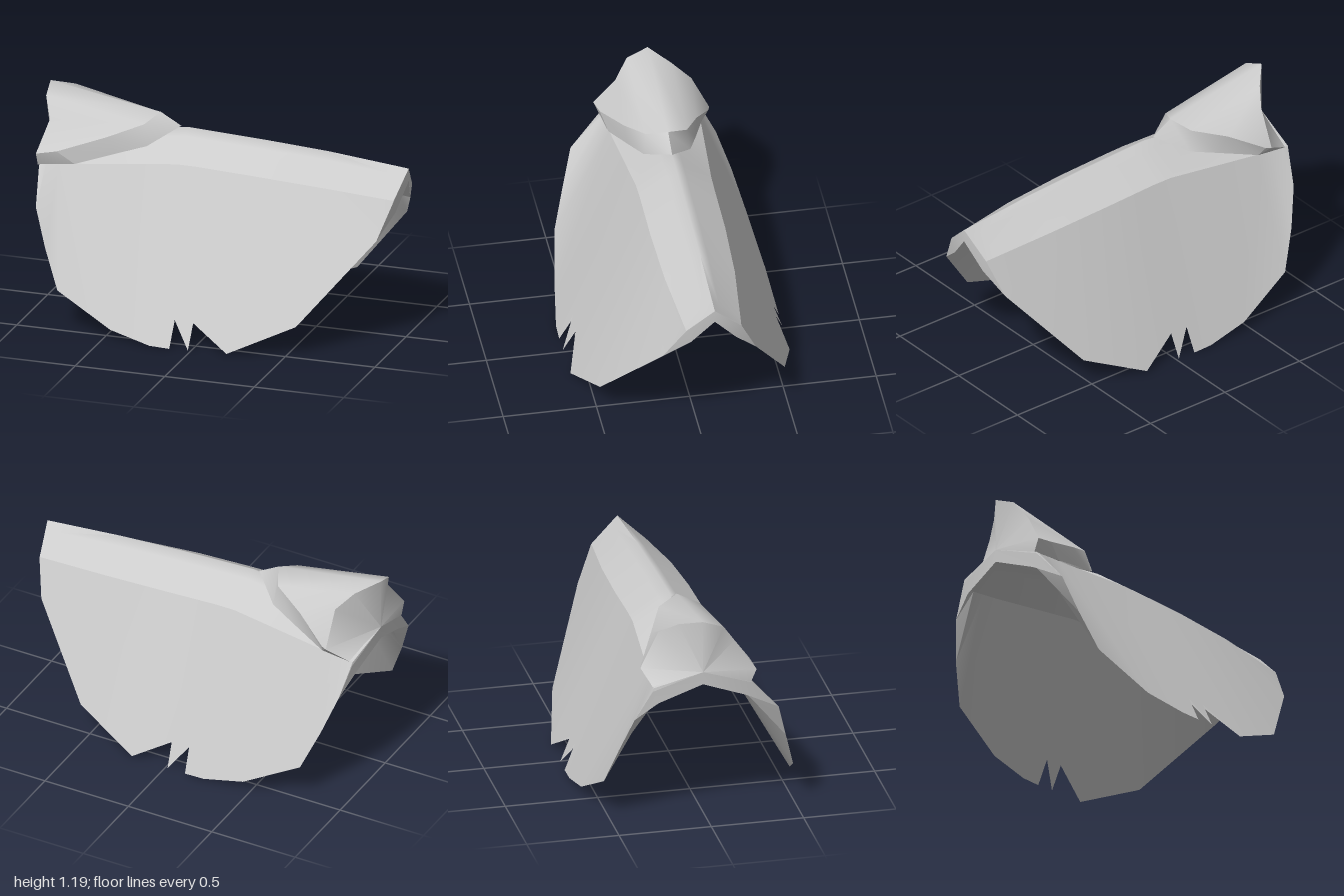
import * as THREE from 'three';
import { toCreasedNormals } from 'three/addons/utils/BufferGeometryUtils.js';

const MID = -0.045; // z of the ridge
const THICK = 0.07; // padding under the ridge
const mix = (a, b, t) => a.map((v, i) => v + (b[i] - v) * t);

// Piecewise linear lookup in a list of [x, value] pairs
function lerpAt(list, x) {
  for (let i = 1; i < list.length; i++) {
    const [x0, v0] = list[i - 1], [x1, v1] = list[i];
    if (x <= x1) return v0 + (v1 - v0) * (x - x0) / (x1 - x0);
  }
  return list[list.length - 1][1];
}

function addTriangle(tris, a, b, c, flip = false) {
  const [A, B, C] = [a, b, c].map(p => new THREE.Vector3(...p));
  if (new THREE.Triangle(A, B, C).getArea() < 1e-7) return;
  tris.push(...a, ...(flip ? c : b), ...(flip ? b : c));
}

// Skins a grid of points: columns run along x or around, rows run downward
function loft(columns, flip = false) {
  const tris = [];
  for (let i = 0; i + 1 < columns.length; i++) {
    for (let j = 0; j + 1 < columns[i].length; j++) {
      const a = columns[i][j], b = columns[i][j + 1];
      const c = columns[i + 1][j + 1], d = columns[i + 1][j];
      addTriangle(tris, a, b, c, flip);
      addTriangle(tris, a, c, d, flip);
    }
  }
  return tris;
}

function makeMesh(name, tris, crease) {
  const geo = new THREE.BufferGeometry();
  geo.setAttribute('position', new THREE.Float32BufferAttribute(tris, 3));
  const mat = new THREE.MeshStandardMaterial({ color: 0xcccccc, side: THREE.DoubleSide });
  const mesh = new THREE.Mesh(toCreasedNormals(geo, crease), mat);
  mesh.name = name;
  return mesh;
}

// Hem outline: x, y, front z, back z, notch depth as a share of the flap, lip thickness
const hem = [
  [-1, 0.9, MID, MID, 0, THICK], [-0.97, 0.8, 0.23, -0.31, 0, THICK],
  [-0.935, 0.63, 0.38, -0.4, 0, 0], [-0.865, 0.43, 0.435, -0.47, 0, 0],
  [-0.775, 0.22, 0.495, -0.53, 0, 0], [-0.46, 0.055, 0.55, -0.58, 0, 0],
  [-0.23, 0.005, 0.585, -0.59, 0, 0], [-0.118, 0.002, 0.588, -0.59, 0, 0],
  [-0.114, 0.002, 0.588, -0.59, 0.168, 0], [-0.014, 0.004, 0.588, -0.59, 0, 0],
  [-0.01, 0.004, 0.588, -0.59, 0.162, 0], [0.2, 0.01, 0.585, -0.59, 0, 0],
  [0.555, 0.17, 0.49, -0.5, 0, 0], [0.91, 0.6, 0.22, -0.28, 0, 0],
  [0.967, 0.79, 0.105, -0.195, 0, THICK], [1, 0.93, MID, MID, 0, THICK],
];
const ridgeY = [[-1, 0.9], [-0.8, 0.93], [-0.27, 1.02], [0.45, 0.985], [1, 0.93]];
const shoulderY = [[-1, 0.9], [-0.97, 0.82], [-0.78, 0.83], [-0.2, 0.88], [0.42, 0.85], [0.967, 0.795], [1, 0.93]];
const shoulderW = [[-1, 0], [-0.97, 0.26], [-0.78, 0.245], [-0.2, 0.2], [0.42, 0.2], [0.967, 0.148], [1, 0]];

// Cross-sections of one side: ridge, near ridge, shoulder, hem
function sections(side, inner) {
  const drop = inner ? THICK : 0, inset = inner ? 0.03 : 0;
  return hem.map(([x, y, zf, zb, notch, lip]) => {
    const ridge = [x, lerpAt(ridgeY, x) - drop, MID];
    const w = Math.max(0, lerpAt(shoulderW, x) - inset);
    const shoulder = [x, lerpAt(shoulderY, x) - drop, MID + side * w];
    const out = Math.abs((side > 0 ? zf : zb) - MID);
    const tip = inner && lip > 0
      ? [x, y - lip, MID + side * Math.max(0, out - inset)]
      : [x, y, MID + side * out];
    return [ridge, mix(ridge, shoulder, 0.25), shoulder, mix(tip, shoulder, notch)];
  });
}

// Raised hump at one end: rear rim, crest and foot points around the ridge
function addHump(group) {
  const columns = [
    [[-0.98, 0.88, 0.25], [-0.87, 0.9, 0.235], [-0.78, 0.83, 0.205]],
    [[-0.94, 1.04, 0.14], [-0.62, 0.98, 0.15], [-0.57, 0.89, 0.135]],
    [[-0.985, 1.145, 0.07], [-0.44, 1.045, 0.065], [-0.42, 0.93, 0.08]],
    [[-1, 1.19, MID], [-0.385, 1.085, MID], [-0.27, 1.02, MID]],
    [[-0.9, 1.145, -0.155], [-0.44, 1.045, -0.155], [-0.42, 0.93, -0.17]],
    [[-0.835, 1.08, -0.25], [-0.62, 0.98, -0.24], [-0.57, 0.89, -0.225]],
    [[-0.83, 0.88, -0.345], [-0.8, 0.885, -0.335], [-0.78, 0.83, -0.295]],
  ];
  group.add(makeMesh('humpShell', loft(columns.map(c => c.slice(0, 2)), true), 1.2));
  group.add(makeMesh('humpBevel', loft(columns.map(c => c.slice(1)), true), 1));

  // Lower corners under the flared sides
  const corners = [[-0.98, 0.81, 0.22], [-0.97, 0.81, -0.3]];
  const under = [];
  [columns[0], columns[6]].forEach(([rim, crest, foot], i) => {
    addTriangle(under, rim, corners[i], foot, i === 1);
    addTriangle(under, rim, foot, crest, i === 1);
  });
  group.add(makeMesh('humpUnderside', under, 0.3));

  // End face fanned from the ridge
  const rim = [corners[0], ...columns.map(c => c[0]), corners[1]];
  const end = [];
  for (let i = 0; i + 1 < rim.length; i++) {
    addTriangle(end, [-1, 0.9, MID], rim[i], rim[i + 1], true);
  }
  group.add(makeMesh('humpEndFace', end, 0.9));
}

export function createModel() {
  const group = new THREE.Group();
  group.name = 'saddleCloth';
  const sides = [1, -1];

  // Outer cover and inner lining, each a ridged roof with two flaps
  for (const inner of [false, true]) {
    const part = inner ? 'lining' : 'cover';
    const roof = sides.flatMap(s => loft(sections(s, inner).map(c => c.slice(0, 3)), (s < 0) !== inner));
    group.add(makeMesh(part + 'Roof', roof, 1.4));
    for (const s of sides) {
      const flap = loft(sections(s, inner).map(c => c.slice(2)), (s < 0) !== inner);
      group.add(makeMesh(part + (s > 0 ? 'FrontFlap' : 'BackFlap'), flap, 0.9));
    }
  }

  // Lip closing the padding at both open ends
  const lip = sides.flatMap(s => {
    const lining = sections(s, true);
    return loft(sections(s, false).map((c, i) => [c[3], hem[i][5] > 0 ? lining[i][3] : c[3]]), s < 0);
  });
  group.add(makeMesh('endLips', lip, 0.5));

  addHump(group);
  return group;
}
